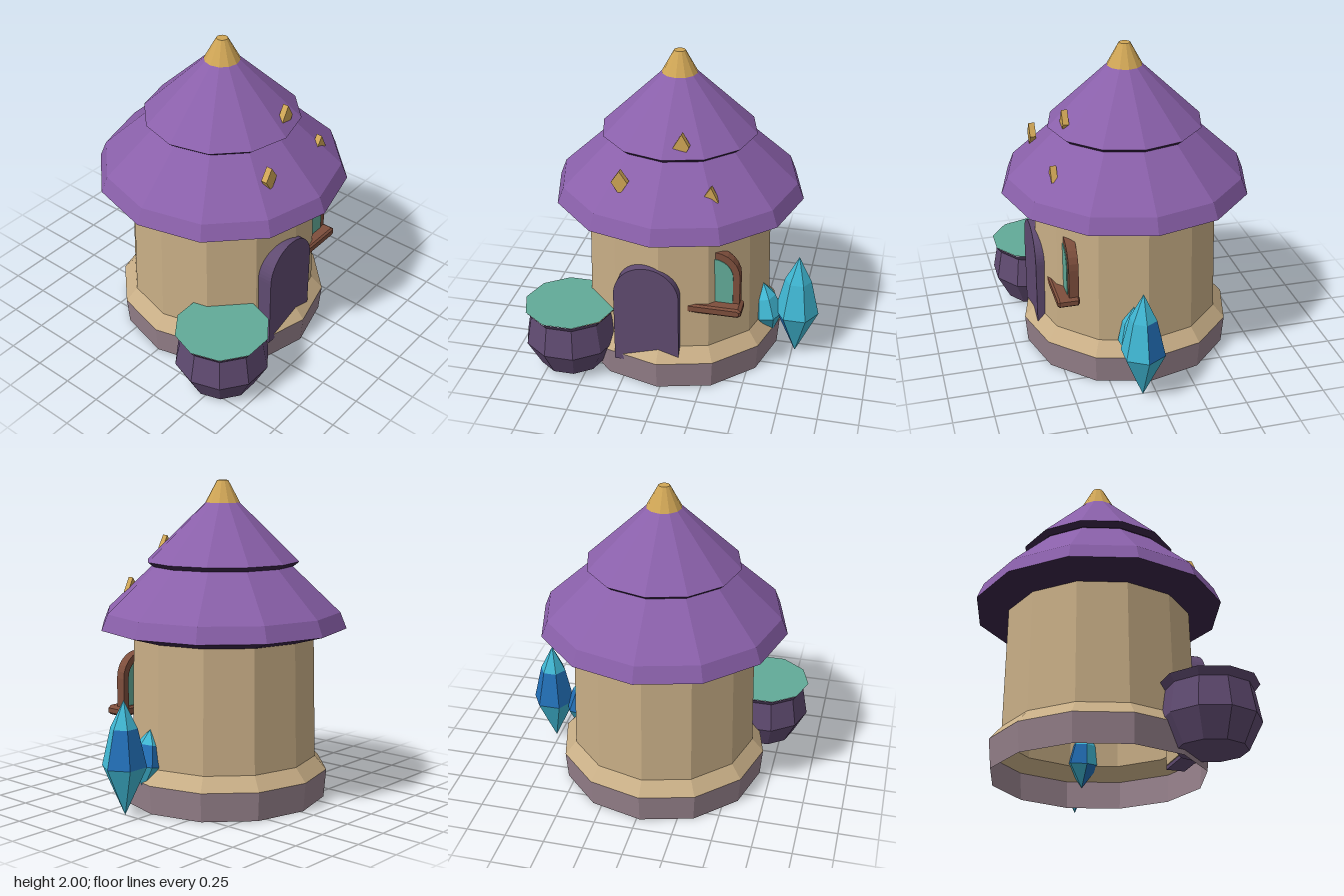
import * as THREE from 'three';
import { mergeGeometries } from 'three/addons/utils/BufferGeometryUtils.js';

const CX = -0.02; // tower axis

function mat(name, color, side = THREE.FrontSide) {
  const m = new THREE.MeshStandardMaterial({ color, flatShading: true, side });
  m.name = name;
  return m;
}

// Faceted solid of revolution from [radius, height] pairs, bottom to top
function lathe(profile, sides, start = 0, sweep = Math.PI * 2) {
  return new THREE.LatheGeometry(profile.map(([r, y]) => new THREE.Vector2(r, y)), sides, start, sweep);
}

// Round-topped outline standing on y = bottom
function arch(Kind, x, halfWidth, bottom, spring) {
  const s = new Kind();
  s.moveTo(x - halfWidth, bottom);
  s.lineTo(x + halfWidth, bottom);
  s.lineTo(x + halfWidth, spring);
  s.absarc(x, spring, halfWidth, 0, Math.PI, false);
  s.closePath();
  return s;
}

// Plate facing +z between two depths
function plate(shape, back, front, curveSegments = 8) {
  const g = new THREE.ExtrudeGeometry(shape, { depth: front - back, bevelEnabled: false, curveSegments });
  return g.translate(0, 0, back);
}

export function createModel() {
  const model = new THREE.Group();
  model.name = 'towerHouse';

  const wallTan = mat('wallTan', 0xc8ae86, THREE.DoubleSide);
  const stone = mat('stoneMauve', 0x95808a, THREE.DoubleSide);
  const roofPurple = mat('roofPurple', 0x8a60aa);
  const eaveDark = mat('eaveDarkPurple', 0x3a2548);
  const plum = mat('plum', 0x5f4a70);
  const gold = mat('gold', 0xd0a656);
  const teal = mat('teal', 0x62ab98);
  const wood = mat('woodBrown', 0x7d4e3c);
  const cyan = mat('crystalCyan', 0x40b8d4);
  const blue = mat('crystalBlue', 0x2270b8);

  function add(name, geometry, material, x = 0, y = 0, z = 0, parent = model) {
    const m = new THREE.Mesh(geometry, material);
    m.name = name;
    m.position.set(x, y, z);
    parent.add(m);
    return m;
  }

  // Tower, open underneath
  add('stoneBase', lathe([[0.657, 0], [0.672, 0.18]], 12), stone, CX);
  add('wall', lathe([[0.672, 0.18], [0.597, 0.265], [0.58, 1.05]], 12), wallTan, CX);

  // Two-tier roof with dark undersides and a gold cap
  add('lowerEave', lathe([[0, 1.032], [0.58, 1.032], [0.785, 1.09]], 12), eaveDark, CX);
  add('lowerRoof', lathe([[0.785, 1.09], [0.745, 1.19], [0.44, 1.475]], 12), roofPurple, CX);
  add('upperEave', lathe([[0.4, 1.475], [0.45, 1.472], [0.485, 1.5]], 12), eaveDark, CX);
  add('upperRoof', lathe([[0.485, 1.5], [0.1, 1.87]], 12), roofPurple, CX);
  add('roofCap', lathe([[0.11, 1.862], [0.035, 2], [0, 2]], 12), gold, CX);

  // Gold patches on the roof front
  const patches = [
    { z: 0.38, pts: [[0.03, 1.55], [0.115, 1.535], [0.13, 1.565], [0.085, 1.645]] },
    { z: 0.523, pts: [[-0.305, 1.365], [-0.255, 1.285], [-0.205, 1.365], [-0.255, 1.44]] },
    { z: 0.495, pts: [[0.245, 1.32], [0.315, 1.28], [0.33, 1.29], [0.285, 1.38]] },
  ];
  for (const { z, pts } of patches) {
    const shape = new THREE.Shape(pts.map(([x, y]) => new THREE.Vector2(x, y)));
    add('roofPatch', plate(shape, z, z + 0.038), gold);
  }

  // Door, with a plain inner face
  add('door', plate(arch(THREE.Shape, -0.095, 0.204, 0.143, 0.621), 0.49, 0.61, 14), plum);
  add('doorInnerFace', plate(arch(THREE.Shape, -0.095, 0.185, 0.165, 0.621), 0.482, 0.489, 14), wallTan);

  // Window half sunk into the angled wall
  const frame = arch(THREE.Shape, 0.3, 0.16, 0.55, 0.755);
  frame.holes.push(arch(THREE.Path, 0.3, 0.118, 0.56, 0.752));
  add('windowFrame', plate(frame, 0.41, 0.471, 6), wood);
  add('windowPane', plate(arch(THREE.Shape, 0.3, 0.118, 0.56, 0.752), 0.43, 0.476, 6), teal);
  const sill = new THREE.Shape([
    [0.14, 0.51], [0.46, 0.51], [0.48, 0.525], [0.48, 0.555], [0.46, 0.57], [0.14, 0.57], [0.12, 0.555], [0.12, 0.525],
  ].map(([x, y]) => new THREE.Vector2(x, y)));
  const sillGeo = new THREE.ExtrudeGeometry(sill, {
    depth: 0.115, bevelEnabled: true, bevelThickness: 0.012, bevelSize: 0.012, bevelOffset: -0.012, bevelSegments: 1,
  });
  add('windowSill', sillGeo, wood, 0, 0, 0.418);

  // Cauldron with its brew
  const cauldron = new THREE.Group();
  cauldron.name = 'cauldron';
  cauldron.position.set(-0.618, 0, 0.487);
  model.add(cauldron);
  add('cauldronBody', lathe([[0, 0.03], [0.21, 0.03], [0.297, 0.2], [0.262, 0.39], [0.295, 0.433]], 10, Math.PI / 2),
    plum, 0, 0, 0, cauldron);
  add('brew', lathe([[0.294, 0.434], [0, 0.434]], 10, Math.PI / 2), teal, 0, 0, 0, cauldron);

  // Small orb inside the tower
  add('orb', new THREE.SphereGeometry(0.13, 10, 6), roofPurple, -0.23, 0.3, 0.3);

  // Six-sided crystals, a few facets in deep blue
  function crystal(name, profile) {
    const group = new THREE.Group();
    group.name = name;
    const facets = { cyan: [], blue: [] };
    for (let band = 0; band < profile.length - 1; band++) {
      for (let i = 0; i < 6; i++) {
        const isBlue = (band === 1 && i < 3) || (band === 0 && i === 3);
        const start = Math.PI / 2 + (i * Math.PI) / 3;
        facets[isBlue ? 'blue' : 'cyan'].push(lathe(profile.slice(band, band + 2), 1, start, Math.PI / 3));
      }
    }
    add('cyanFacets', mergeGeometries(facets.cyan), cyan, 0, 0, 0, group);
    add('blueFacets', mergeGeometries(facets.blue), blue, 0, 0, 0, group);
    model.add(group);
    return group;
  }
  crystal('largeCrystal', [[0, 0.01], [0.14, 0.315], [0.085, 0.55], [0, 0.72]]).position.set(0.77, 0, 0.09);
  const small = crystal('smallCrystal', [[0, 0], [0.095, 0.15], [0.065, 0.28], [0, 0.37]]);
  small.position.set(0.615, 0.135, 0.09);
  small.rotation.z = 0.18;
  small.scale.z = 1.2;

  return model;
}
